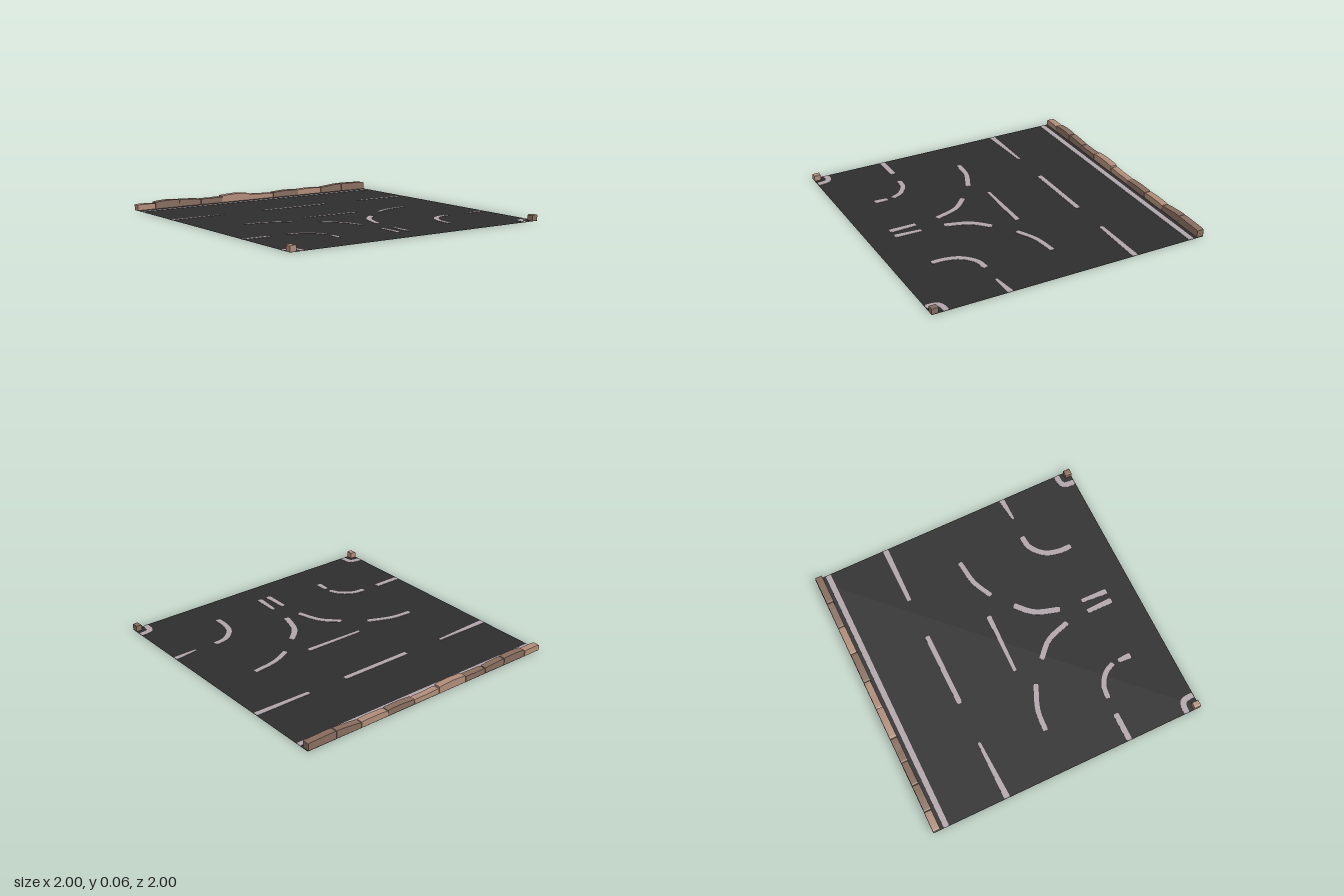
import * as THREE from 'three';

const asphalt = new THREE.MeshStandardMaterial({ name: 'asphalt', color: 0x2d2d2d, side: THREE.DoubleSide });
const paint = new THREE.MeshStandardMaterial({ name: 'roadPaint', color: 0xb0a4a9 });
const tanStone = new THREE.MeshStandardMaterial({ name: 'tanStone', color: 0xb08c79 });
const brownStone = new THREE.MeshStandardMaterial({ name: 'brownStone', color: 0x866c5e });

const ROAD_Y = 0.002;

// Thin painted line along [x, z] points; width goes from w0 to w1, ends slightly rounded
function paintedLine(name, points, w0 = 0.04, w1 = w0) {
  const curve = new THREE.CatmullRomCurve3(points.map(([x, z]) => new THREE.Vector3(x, z, 0)));
  const steps = points.length > 2 ? 14 : 1;
  const stops = [0, 0.008 / curve.getLength()];
  for (let i = 1; i < steps; i++) stops.push(i / steps);
  stops.push(1 - stops[1], 1);
  const left = [], right = [];
  stops.forEach((t, i) => {
    const p = curve.getPointAt(t), d = curve.getTangentAt(t);
    const end = i === 0 || i === stops.length - 1;
    const half = THREE.MathUtils.lerp(w0, w1, t) / 2 * (end ? 0.7 : 1);
    left.push(new THREE.Vector2(p.x - d.y * half, p.y + d.x * half));
    right.unshift(new THREE.Vector2(p.x + d.y * half, p.y - d.x * half));
  });
  const geo = new THREE.ExtrudeGeometry(new THREE.Shape([...left, ...right]), { depth: ROAD_Y * 2, bevelEnabled: false });
  geo.rotateX(Math.PI / 2).translate(0, ROAD_Y * 2, 0);
  const mesh = new THREE.Mesh(geo, paint);
  mesh.name = name;
  return mesh;
}

// Kerb stone with a worn top: heights at its start, middle and end
function kerbStone(name, x0, x1, heights, z0, z1, material) {
  const [a, b, c] = heights, gap = 0.002, w = x1 - x0;
  const base = ROAD_Y + 0.001;
  const shape = new THREE.Shape([
    [x0 + gap, base], [x1 - gap, base], [x1 - gap, c - 0.003], [x1 - gap - w * 0.06, c],
    [x0 + w * 0.7, (b + c) / 2 + 0.001], [x0 + w * 0.5, b], [x0 + w * 0.3, (a + b) / 2 + 0.001],
    [x0 + gap + w * 0.06, a], [x0 + gap, a - 0.003],
  ].map(([x, y]) => new THREE.Vector2(x, y)));
  const geo = new THREE.ExtrudeGeometry(shape, { depth: z1 - z0, bevelEnabled: false });
  geo.translate(0, 0, z0);
  const mesh = new THREE.Mesh(geo, material);
  mesh.name = name;
  return mesh;
}

export function createModel() {
  const group = new THREE.Group();
  group.name = 'roadJunctionTile';

  // Road surface
  const road = new THREE.Mesh(new THREE.PlaneGeometry(1.995, 1.995).rotateX(-Math.PI / 2), asphalt);
  road.name = 'roadSurface';
  road.position.set(0, ROAD_Y, 0.0025);
  group.add(road);

  // Painted markings: name, path, start width, end width
  const markings = new THREE.Group();
  markings.name = 'roadMarkings';
  const E = 0.995;
  const lines = [
    ['edgeLine', [[-E, -0.9], [E, -0.9]], 0.038],
    ['laneDashRight', [[-E, -0.455], [-0.57, -0.463]], 0.042, 0.02],
    ['laneDashCentre', [[-0.265, -0.461], [0.275, -0.461]], 0.034],
    ['laneDashLeft', [[0.57, -0.461], [E, -0.458]], 0.028, 0.04],
    ['junctionDash', [[-0.22, -0.02], [0.225, -0.012]], 0.022, 0.034],
    ['sweepRight', [[-0.69, -0.02], [-0.54, -0.005], [-0.365, 0.065]], 0.034],
    ['sweepLeft', [[0.36, 0.07], [0.5, 0.005], [0.68, -0.022]], 0.034],
    ['turnRight', [[-0.22, 0.18], [-0.115, 0.29], [-0.055, 0.46]], 0.036],
    ['turnLeft', [[0.22, 0.18], [0.115, 0.29], [0.055, 0.46]], 0.04],
    ['sideDashRight', [[-E, 0.46], [-0.79, 0.46]], 0.038],
    ['sideDashLeft', [[0.82, 0.47], [E, 0.458]], 0.016, 0.04],
    ['cornerCurveRight', [[-0.67, 0.465], [-0.575, 0.48], [-0.495, 0.54], [-0.46, 0.61]], 0.034],
    ['cornerDashRight', [[-0.46, 0.65], [-0.46, 0.745]], 0.03, 0.042],
    ['cornerCurveLeft', [[0.67, 0.463], [0.58, 0.475], [0.49, 0.55], [0.457, 0.65], [0.455, 0.745]], 0.038],
    ['stemDashRight', [[-0.042, 0.625], [-0.04, 0.815]], 0.032, 0.04],
    ['stemDashLeft', [[0.046, 0.625], [0.036, 0.815]], 0.026, 0.04],
  ];
  for (const line of lines) markings.add(paintedLine(...line));
  for (const s of [-1, 1]) {
    markings.add(paintedLine(s < 0 ? 'cornerEdgeRight' : 'cornerEdgeLeft',
      [[s * E, 0.9], [s * 0.945, 0.902], [s * 0.911, 0.918], [s * 0.902, 0.95], [s * 0.9, E]]));
  }
  group.add(markings);

  // Back kerb: one row of stones
  const kerb = new THREE.Group();
  kerb.name = 'backKerb';
  const joints = [-0.997, -0.855, -0.66, -0.485, -0.305, -0.07, 0.14, 0.365, 0.58, 0.775, 0.995];
  const heights = [
    [0.043, 0.044, 0.042], [0.052, 0.058, 0.055], [0.053, 0.05, 0.044], [0.042, 0.041, 0.044], [0.053, 0.059, 0.054],
    [0.043, 0.038, 0.038], [0.041, 0.047, 0.045], [0.044, 0.047, 0.045], [0.044, 0.052, 0.059], [0.059, 0.057, 0.055],
  ];
  const tan = [0, 4, 5, 7];
  heights.forEach((h, i) => {
    const shift = 0.002 * Math.sin(i * 2.3);
    kerb.add(kerbStone('kerbStone' + (i + 1), joints[i], joints[i + 1], h, -0.996 + Math.abs(shift), -0.946 + shift,
      tan.includes(i) ? tanStone : brownStone));
  });

  // Dark joint filling behind the stone faces
  const mortar = new THREE.Mesh(new THREE.BoxGeometry(1.98, 0.03, 0.04), asphalt);
  mortar.name = 'kerbJoints';
  mortar.position.set(0, 0.019, -0.971);
  kerb.add(mortar);
  group.add(kerb);

  // Front corner stones
  group.add(kerbStone('cornerStoneRight', -0.999, -0.95, [0.042, 0.044, 0.043], 0.953, 1, tanStone));
  group.add(kerbStone('cornerStoneLeft', 0.95, 0.997, [0.042, 0.044, 0.043], 0.953, 1, brownStone));

  return group;
}
